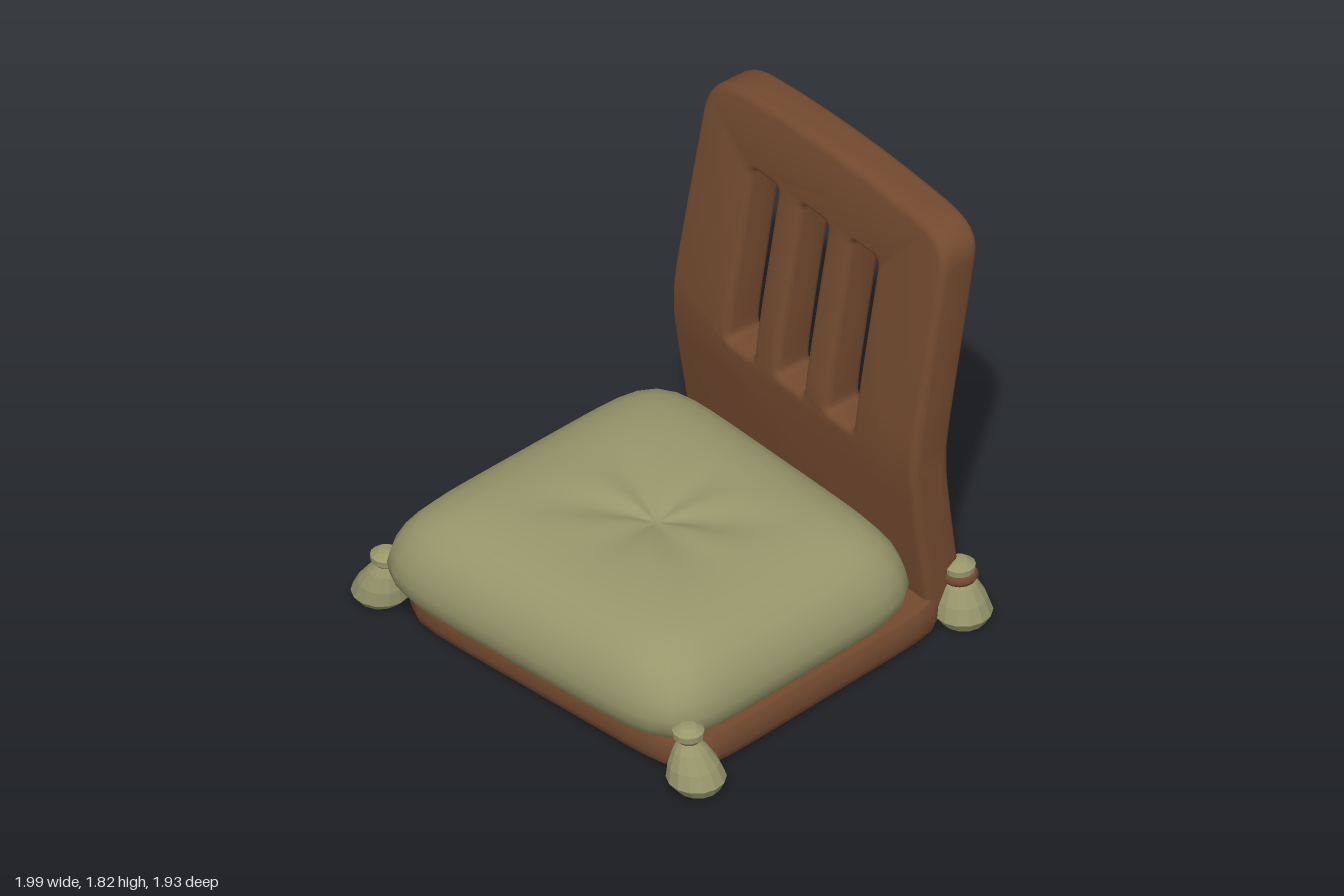
import * as THREE from 'three';
import { toCreasedNormals } from 'three/addons/utils/BufferGeometryUtils.js';

const V2 = (x, y) => new THREE.Vector2(x, y);

// Move every vertex of a geometry by a rule
function warp(geo, rule) {
  const p = geo.attributes.position, v = new THREE.Vector3();
  for (let i = 0; i < p.count; i++) {
    rule(v.fromBufferAttribute(p, i));
    p.setXYZ(i, v.x, v.y, v.z);
  }
  return geo;
}

// Squarish pad: a lathed profile squared off, then fitted between four corners
// corners: back left, back right, front right, front left as [x, z]
function pad(profile, corners, power, extra) {
  const geo = new THREE.LatheGeometry(profile.map(([r, y]) => V2(r, y)), 72);
  const [a, b, c, d] = corners;
  return warp(geo, v => {
    const r = Math.hypot(v.x, v.z);
    let u = 0, w = 0;
    if (r > 1e-6) {
      const cx = v.x / r, cz = v.z / r;
      const k = r / Math.pow(Math.abs(cx) ** power + Math.abs(cz) ** power, 1 / power);
      u = cx * k; w = cz * k;
      if (extra) v.y += extra(r, Math.atan2(cz, cx));
    }
    const mix = i => ((1 - u) * (1 - w) * a[i] + (1 + u) * (1 - w) * b[i]
      + (1 + u) * (1 + w) * c[i] + (1 - u) * (1 + w) * d[i]) / 4;
    v.x = mix(0); v.z = mix(1);
  });
}

// Cut all triangles at the given heights so that the panel can bend
function slice(geo, levels) {
  const p = geo.toNonIndexed().attributes.position;
  let tris = [];
  for (let i = 0; i < p.count; i += 3)
    tris.push([0, 1, 2].map(k => new THREE.Vector3().fromBufferAttribute(p, i + k)));
  for (const h of levels) {
    const next = [];
    for (const t of tris) {
      const up = t.map(v => v.y > h), n = up.filter(Boolean).length;
      if (n === 0 || n === 3) { next.push(t); continue; }
      const i = up.indexOf(n === 1);
      const A = t[i], B = t[(i + 1) % 3], C = t[(i + 2) % 3];
      const P = A.clone().lerp(B, (h - A.y) / (B.y - A.y));
      const Q = A.clone().lerp(C, (h - A.y) / (C.y - A.y));
      next.push([A, P, Q], [P, B, C], [P, C, Q]);
    }
    tris = next;
  }
  return new THREE.BufferGeometry().setFromPoints(tris.flat());
}

// Backrest panel with a rounded top and three slots, bent at the waist
function backrestGeometry() {
  const s = new THREE.Shape();
  s.moveTo(-0.68, 0.1);
  s.lineTo(0.68, 0.1);
  s.lineTo(0.7, 0.8);
  s.lineTo(0.7, 1.64);
  s.bezierCurveTo(0.7, 1.75, 0.63, 1.79, 0.5, 1.8);
  s.quadraticCurveTo(0, 1.84, -0.46, 1.8);
  s.bezierCurveTo(-0.61, 1.79, -0.67, 1.73, -0.68, 1.62);
  s.lineTo(-0.7, 0.9);
  s.closePath();
  for (const x of [-0.3, -0.015, 0.27]) {
    const hole = new THREE.Path(), w = 0.075, b = 0.765, t = 1.515, r = 0.03;
    hole.moveTo(x - w + r, b);
    hole.lineTo(x + w - r, b);
    hole.quadraticCurveTo(x + w, b, x + w, b + r);
    hole.lineTo(x + w, t - r);
    hole.quadraticCurveTo(x + w, t, x + w - r, t);
    hole.lineTo(x - w + r, t);
    hole.quadraticCurveTo(x - w, t, x - w, t - r);
    hole.lineTo(x - w, b + r);
    hole.quadraticCurveTo(x - w, b, x - w + r, b);
    s.holes.push(hole);
  }
  const ext = new THREE.ExtrudeGeometry(s, {
    depth: 0.11, bevelThickness: 0.03, bevelSize: 0.03, bevelOffset: -0.03,
    bevelSegments: 3, curveSegments: 8
  });
  ext.translate(0, 0, -0.055);
  const geo = slice(ext, [0.25, 0.4, 0.53, 0.63, 0.71, 0.83, 0.91, 1.03, 1.2]);
  const bend = y => {
    const d = y - 0.77;
    const slope = d > 0 ? 0.14 : 0.15;
    return -slope * (Math.sqrt(d * d + 0.01) - 0.1);
  };
  warp(geo, v => {
    v.z += bend(v.y);
    v.x += Math.max(0, v.y - 0.8) * 0.04;
  });
  return toCreasedNormals(geo, 0.6);
}

// Pleated tassel skirt with a knot, leaning from the neck to the foot
function tasselGeometry(neck, foot) {
  const prof = [[0, 0.005], [0.085, 0.01], [0.112, 0.05], [0.095, 0.11], [0.065, 0.17],
    [0.04, 0.205], [0.058, 0.225], [0.06, 0.25], [0.03, 0.272], [0, 0.275]];
  const geo = new THREE.LatheGeometry(prof.map(([r, y]) => V2(r, y)), 14);
  return warp(geo, v => {
    const a = Math.atan2(v.z, v.x);
    const fold = v.y < 0.2 ? 1 + 0.08 * Math.cos(a * 7) : 1;
    const t = Math.min(1, v.y / 0.22);
    v.x = v.x * fold + foot[0] + (neck[0] - foot[0]) * t;
    v.z = v.z * fold + foot[1] + (neck[1] - foot[1]) * t;
  });
}

export function createModel() {
  const wood = new THREE.MeshStandardMaterial({ color: 0x734a2f });
  wood.name = 'brown wood';
  const cloth = new THREE.MeshStandardMaterial({ color: 0x97966b });
  cloth.name = 'olive cloth';
  const tuft = cloth.clone();
  tuft.name = 'olive tassel cloth';
  tuft.flatShading = true;

  const model = new THREE.Group();
  model.name = 'floorChair';
  const add = (name, geo, mat) => {
    const m = new THREE.Mesh(geo, mat);
    m.name = name;
    model.add(m);
    return m;
  };

  // Base board
  const base = pad(
    [[0, 0], [0.96, 0], [0.99, 0.02], [1, 0.05], [1, 0.11], [0.98, 0.14], [0, 0.145]],
    [[-0.53, -0.85], [0.89, -0.53], [0.7, 0.87], [-0.82, 0.68]], 9);
  add('baseBoard', toCreasedNormals(base, 0.7), wood);

  // Cushion with a tufted centre and radiating folds
  const cushion = pad(
    [[0, 0.14], [0.88, 0.14], [0.95, 0.17], [0.99, 0.22], [1, 0.27], [0.985, 0.33], [0.95, 0.39],
      [0.89, 0.445], [0.8, 0.49], [0.68, 0.52], [0.52, 0.533], [0.36, 0.532], [0.22, 0.522],
      [0.12, 0.508], [0.05, 0.492], [0, 0.485]],
    [[-0.62, -0.71], [0.89, -0.37], [0.7, 0.96], [-0.88, 0.78]], 7,
    (r, a) => (r < 0.5 ? 0.008 * Math.cos(a * 6 + 0.5) * Math.sin(r / 0.5 * Math.PI) : 0));
  // the lower face lies hidden on the base board
  add('cushion', toCreasedNormals(cushion, 1.0), cloth);

  // Backrest
  const back = add('backrest', backrestGeometry(), wood);
  back.position.set(0.17, 0, -0.57);
  back.rotation.y = -0.235;

  // Corner tassels: neck and foot as [x, z]
  const tassels = [
    ['frontRightTassel', [-0.84, 0.66], [-0.9, 0.62]],
    ['frontLeftTassel', [0.69, 0.86], [0.73, 0.85]],
    ['backLeftTassel', [0.87, -0.55], [0.89, -0.55]],
    ['backRightTassel', [-0.51, -0.83], [-0.55, -0.855]]
  ];
  tassels.forEach(([name, neck, foot], i) => {
    add(name, tasselGeometry(neck, foot), tuft);
    // Brown cord around the necks of the rear tassels
    if (i > 1) {
      const cord = add(name + 'Cord', new THREE.TorusGeometry(0.05, 0.022, 6, 14), wood);
      cord.position.set(neck[0], 0.205, neck[1]);
      cord.rotation.x = Math.PI / 2;
    }
  });

  return model;
}
